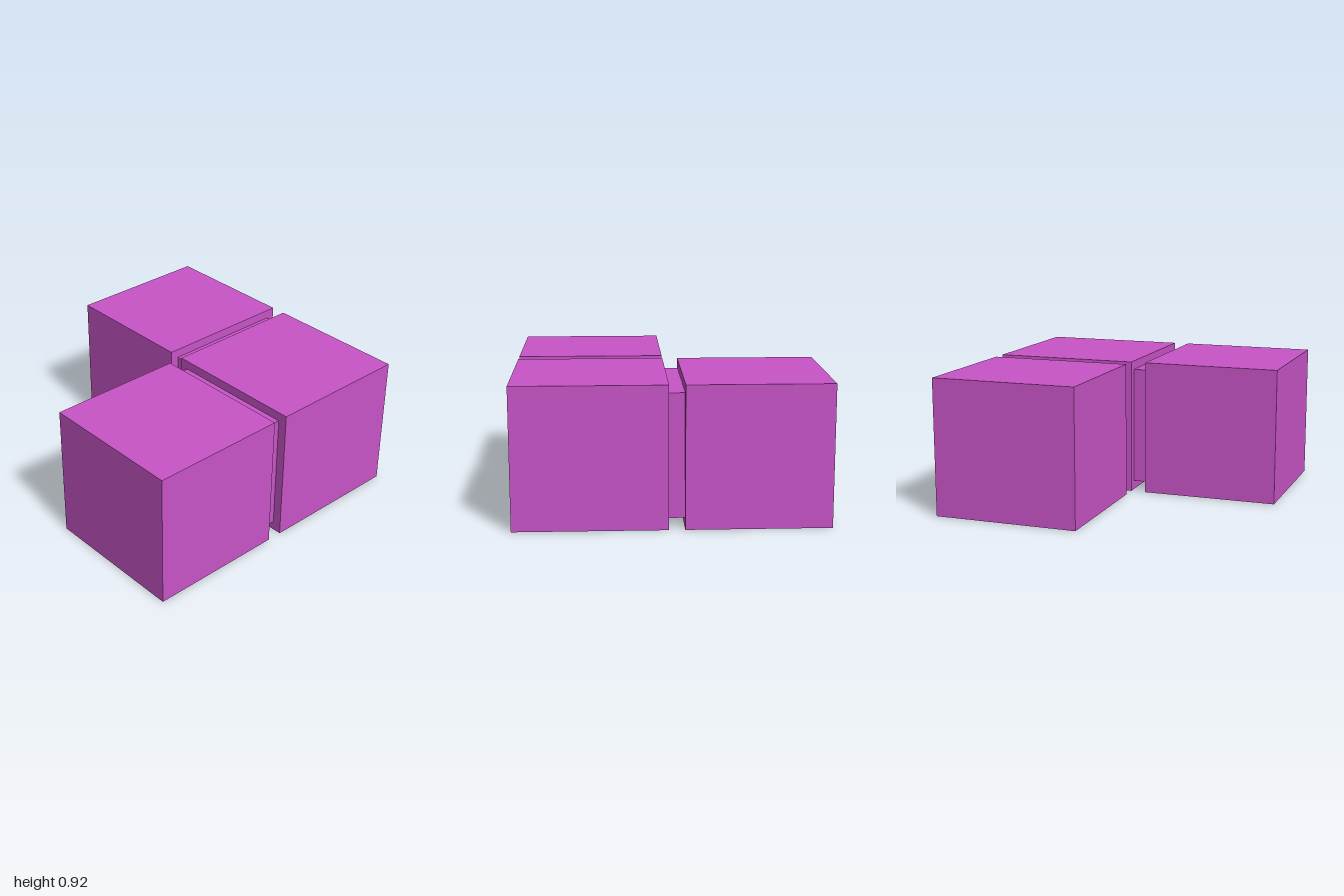
import * as THREE from 'three';

export function createModel() {
  const model = new THREE.Group();
  model.name = 'linkedCubes';
  const orchid = new THREE.MeshStandardMaterial({ color: 0xc955c8 });
  orchid.name = 'orchid';

  // Adds a box spanning the given [min, max] ranges
  function addBox(name, [x0, x1], [y0, y1], [z0, z1]) {
    const mesh = new THREE.Mesh(new THREE.BoxGeometry(x1 - x0, y1 - y0, z1 - z0), orchid);
    mesh.name = name;
    mesh.position.set((x0 + x1) / 2, (y0 + y1) / 2, (z0 + z1) / 2);
    model.add(mesh);
  }

  const height = [0, 0.915];
  const near = [0.023, 1];       // span of the corner block
  const far = [-1, -0.078];      // span of the outer blocks
  const gap = [-0.078, 0.023];   // space bridged by the connectors
  const inset = [0.081, 0.938];
  const insetHeight = [0.06, 0.855];

  // Three blocks in an L
  addBox('cornerBlock', near, height, near);
  addBox('rightBlock', far, height, near);
  addBox('backBlock', near, height, far);

  // Recessed connectors between neighbouring blocks
  addBox('rightConnector', gap, insetHeight, inset);
  addBox('backConnector', inset, insetHeight, gap);

  return model;
}
